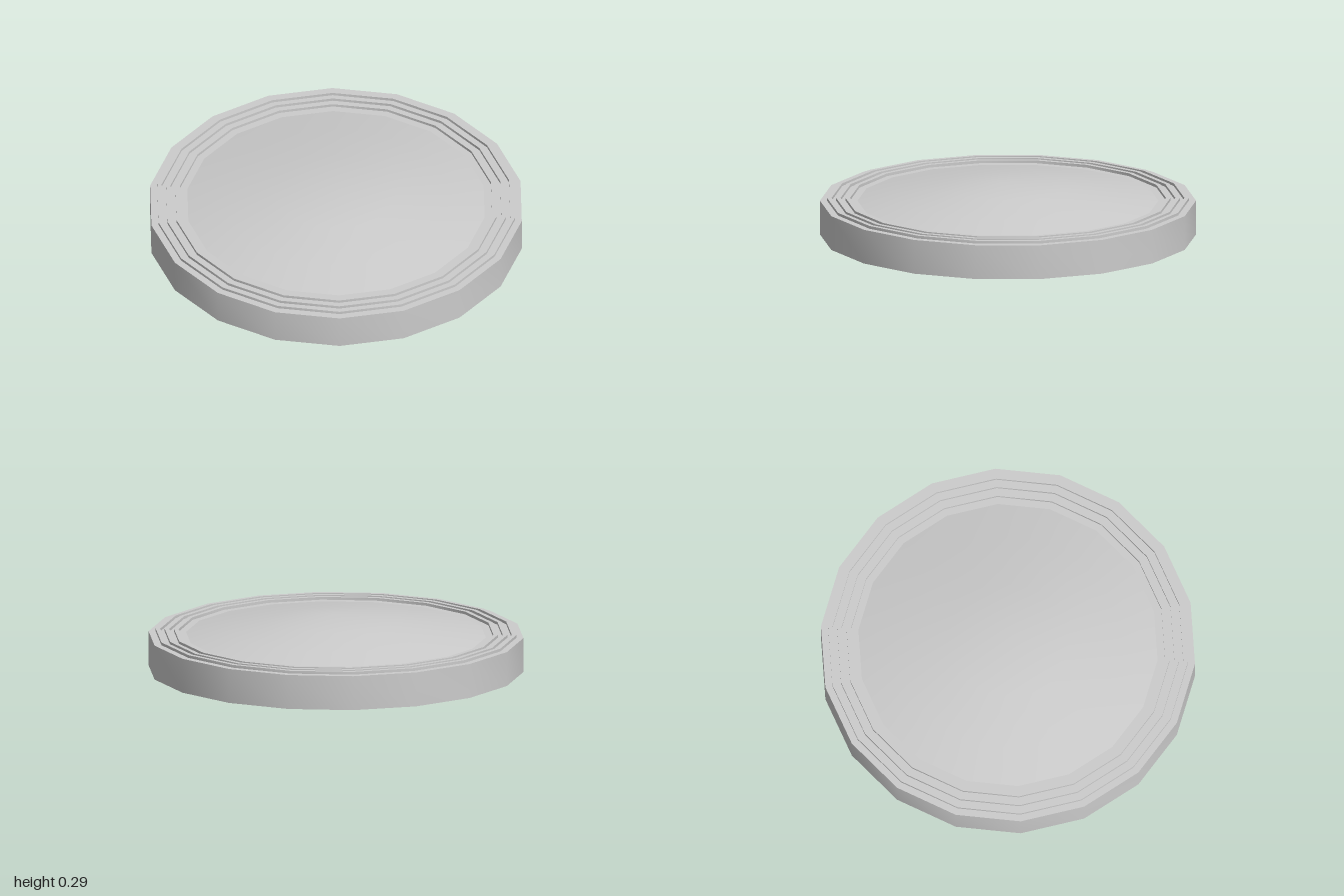
import * as THREE from 'three';
import { toCreasedNormals } from 'three/addons/utils/BufferGeometryUtils.js';

const SIDES = 18;
const RIM = 0.185;
const RIDGE = 0.2;

export function createModel() {
  const model = new THREE.Group();
  const material = new THREE.MeshStandardMaterial({ color: 0xcccccc });

  // Turned part with a corner on the x axis; sides stay smooth, steps stay sharp
  const turned = (name, profile, edit) => {
    const points = profile.map(([r, y]) => new THREE.Vector2(r, y));
    const geometry = new THREE.LatheGeometry(points, SIDES, Math.PI / 2);
    if (edit) edit(geometry.attributes.position);
    const mesh = new THREE.Mesh(toCreasedNormals(geometry, 0.6), material);
    mesh.name = name;
    model.add(mesh);
  };

  // Disc body: flat bottom, outer wall and three raised rings with grooves between
  const body = [[0, 0], [1, 0], [1, RIM]];
  for (const [outer, inner] of [[0.962, 0.938], [0.914, 0.89], [0.864, 0.84]]) {
    body.push([outer, RIM], [outer, RIDGE], [inner, RIDGE], [inner, RIM]);
  }
  body.push([0.8, RIM]);
  turned('ringedBase', body);

  // Shallow dome, its crown set slightly towards the front
  const dome = [[0.8, RIM], [0.6, 0.222], [0.32, 0.265], [0, 0.292]];
  turned('dome', dome, (position) => {
    for (let i = 0; i < position.count; i++) {
      const crown = position.getY(i) > 0.28;
      if (crown) position.setZ(i, position.getZ(i) + 0.04);
    }
  });

  return model;
}
